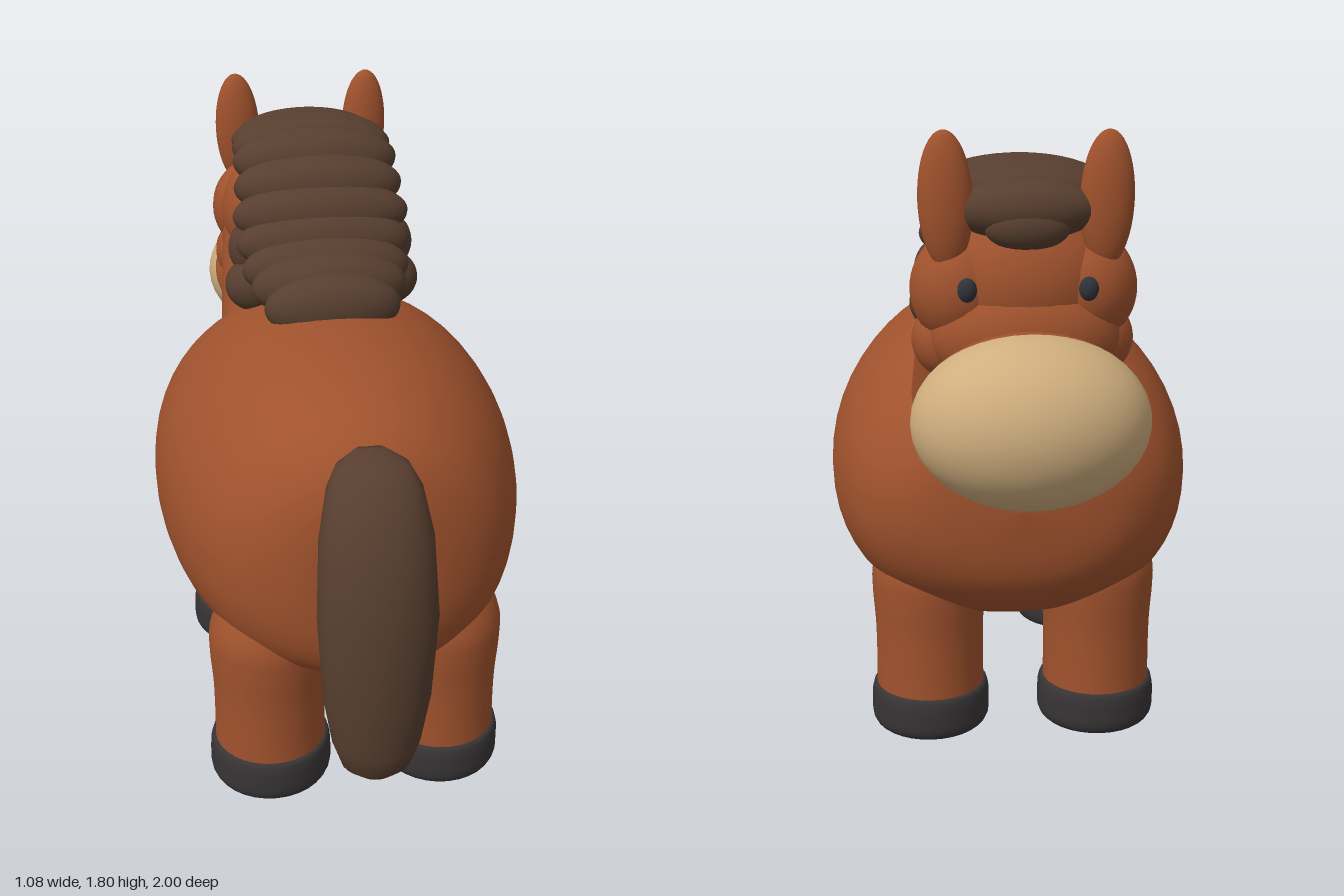
import * as THREE from 'three';

const material = (name, color) => {
  const m = new THREE.MeshStandardMaterial({ color });
  m.name = name;
  return m;
};

// Smooth spline through each column of a table of cross-sections
function resample(rows, count) {
  const curves = rows[0].map((_, c) =>
    new THREE.SplineCurve(rows.map((r, i) => new THREE.Vector2(i, r[c]))));
  return Array.from({ length: count + 1 }, (_, i) => curves.map(k => k.getPoint(i / count).y));
}

// Skin closed rings; point(row, angle) returns [x, y, z]
function loft(rows, sides, point) {
  const pos = [], index = [];
  rows.forEach((row, i) => {
    for (let j = 0; j < sides; j++) {
      pos.push(...point(row, (j / sides) * Math.PI * 2));
      if (i === rows.length - 1) continue;
      const a = i * sides + j, b = i * sides + (j + 1) % sides;
      index.push(a, a + sides, b, b, a + sides, b + sides);
    }
  });
  const g = new THREE.BufferGeometry();
  g.setAttribute('position', new THREE.Float32BufferAttribute(pos, 3));
  g.setIndex(index);
  g.computeVertexNormals();
  return g;
}

const lathe = pts => new THREE.LatheGeometry(
  new THREE.SplineCurve(pts.map(p => new THREE.Vector2(...p))).getPoints(28)
    .map(p => p.setX(Math.max(0, p.x))), 32);

export function createModel() {
  const model = new THREE.Group();
  model.name = 'pony';
  const coat = material('chestnut coat', 0xa0522d);
  const hair = material('dark brown hair', 0x573e2f);
  const tan = material('tan muzzle', 0xcfae7e);
  const hoofMat = material('charcoal hoof', 0x383436);
  const eyeMat = material('dark eye', 0x2f3338);

  const add = (name, geometry, mat, x = 0, y = 0, z = 0) => {
    const mesh = new THREE.Mesh(geometry, mat);
    mesh.name = name;
    mesh.position.set(x, y, z);
    model.add(mesh);
    return mesh;
  };
  const ball = new THREE.SphereGeometry(1, 32, 24);
  const blob = (name, mat, x, y, z, rx, ry, rz) => {
    const mesh = add(name, ball, mat, x, y, z);
    mesh.scale.set(rx, ry, rz);
    return mesh;
  };

  // Barrel body: z, half width, top, bottom
  const bodyRows = resample([
    [0.79, 0.001, 0.801, 0.799],
    [0.785, 0.14, 0.99, 0.58],
    [0.76, 0.24, 1.09, 0.49],
    [0.70, 0.34, 1.16, 0.43],
    [0.60, 0.42, 1.215, 0.38],
    [0.40, 0.495, 1.26, 0.335],
    [0.15, 0.535, 1.275, 0.32],
    [-0.08, 0.532, 1.265, 0.325],
    [-0.25, 0.50, 1.215, 0.35],
    [-0.38, 0.445, 1.12, 0.41],
    [-0.47, 0.35, 1.02, 0.49],
    [-0.515, 0.23, 0.93, 0.59],
    [-0.535, 0.001, 0.761, 0.759],
  ], 60);
  add('body', loft(bodyRows, 56, ([z, w, top, bottom], t) => {
    const c = Math.cos(t), s = Math.sin(t);
    const mid = Math.min(Math.max(0.76, bottom), top);
    const p = s < 0 ? 0.88 : 1;
    return [
      Math.sign(c) * w * Math.abs(c) ** p,
      mid + (s < 0 ? -(mid - bottom) * Math.abs(s) ** p : (top - mid) * s), z];
  }), coat);

  // Legs and hooves
  const legGeo = lathe([[0.162, 0.11], [0.16, 0.2], [0.161, 0.32], [0.168, 0.43],
    [0.165, 0.51], [0.13, 0.59], [0.07, 0.63], [0, 0.64]]);
  const hoofGeo = lathe([[0, 0], [0.08, 0], [0.15, 0.002], [0.174, 0.025], [0.177, 0.07],
    [0.174, 0.115], [0.158, 0.135], [0.08, 0.136], [0, 0.136]]);
  for (const [end, z] of [['front', -0.232], ['rear', 0.538]]) {
    for (const [side, sx] of [['Left', 1], ['Right', -1]]) {
      add(`${end}${side}Leg`, legGeo, coat, sx * 0.252, 0, z);
      add(`${end}${side}Hoof`, hoofGeo, hoofMat, sx * 0.252, 0, z);
    }
  }

  // Tail: y, centre z, half width, half depth
  add('tail', loft([
    [0.24, 0.895, 0.001, 0.001],
    [0.245, 0.895, 0.05, 0.04],
    [0.28, 0.892, 0.095, 0.075],
    [0.35, 0.888, 0.12, 0.10],
    [0.50, 0.888, 0.145, 0.108],
    [0.75, 0.885, 0.16, 0.114],
    [0.95, 0.845, 0.15, 0.108],
    [1.07, 0.80, 0.125, 0.08],
    [1.12, 0.765, 0.095, 0.055],
    [1.145, 0.73, 0.04, 0.02],
    [1.146, 0.73, 0.001, 0.001],
  ], 24, ([y, z, rx, rz], t) => [Math.cos(t) * rx, y, z + Math.sin(t) * rz]), hair);

  // Neck leaning forward into the head
  const neck = add('neck', new THREE.CylinderGeometry(0.27, 0.3, 0.4, 40, 1), coat, 0, 1.19, -0.42);
  neck.rotation.x = -0.53;
  neck.scale.z = 0.82;

  // Head
  blob('skull', coat, 0, 1.40, -0.47, 0.275, 0.235, 0.235);
  blob('bridge', coat, 0, 1.27, -0.59, 0.25, 0.16, 0.14);
  blob('jaw', coat, 0, 1.16, -0.54, 0.25, 0.17, 0.15);
  for (const [side, s] of [['left', 1], ['right', -1]]) {
    blob(`${side}Cheek`, coat, s * 0.165, 1.39, -0.55, 0.133, 0.15, 0.133);
    blob(`${side}Jowl`, coat, s * 0.18, 1.25, -0.52, 0.115, 0.11, 0.12);
    blob(`${side}Eye`, eyeMat, s * 0.155, 1.405, -0.673, 0.026, 0.032, 0.022);
    const ear = blob(`${side}Ear`, coat, s * 0.205, 1.625, -0.625, 0.07, 0.176, 0.045);
    ear.rotation.z = -s * 0.03;
  }

  // Muzzle: one rounded form split by colour along a tilted plane
  const split = 1.91;
  for (const [name, mat, start, length] of [
    ['muzzle', tan, 0, split], ['muzzleBase', coat, split, Math.PI - split]]) {
    const m = add(name, new THREE.SphereGeometry(0.226, 40, 24, 0, Math.PI * 2, start, length),
      mat, 0, 1.087, -0.774);
    m.scale.x = 1.35;
    m.rotation.x = -1.945;
  }

  // Mane: overlapping tufts from withers to forelock (y, z, rx, ry, rz)
  [
    [1.28, 0.09, 0.20, 0.10, 0.085],
    [1.32, 0.02, 0.23, 0.10, 0.09],
    [1.35, -0.05, 0.25, 0.10, 0.09],
    [1.41, -0.11, 0.26, 0.10, 0.09],
    [1.48, -0.16, 0.265, 0.10, 0.095],
    [1.55, -0.22, 0.255, 0.10, 0.10],
    [1.61, -0.29, 0.25, 0.10, 0.10],
    [1.632, -0.37, 0.245, 0.09, 0.09],
    [1.635, -0.45, 0.24, 0.08, 0.09],
    [1.63, -0.53, 0.215, 0.078, 0.09],
    [1.60, -0.61, 0.19, 0.08, 0.09],
  ].forEach(([y, z, rx, ry, rz], i) => blob(`maneTuft${i + 1}`, hair, 0, y, z, rx, ry, rz));
  blob('forelock', hair, 0, 1.56, -0.655, 0.11, 0.06, 0.05);
  for (const s of [1, -1]) {
    blob('sideTuft', hair, s * 0.20, 1.275, -0.14, 0.095, 0.085, 0.08);
    blob('sideTuft', hair, s * 0.20, 1.38, -0.17, 0.08, 0.09, 0.07);
  }
  return model;
}
